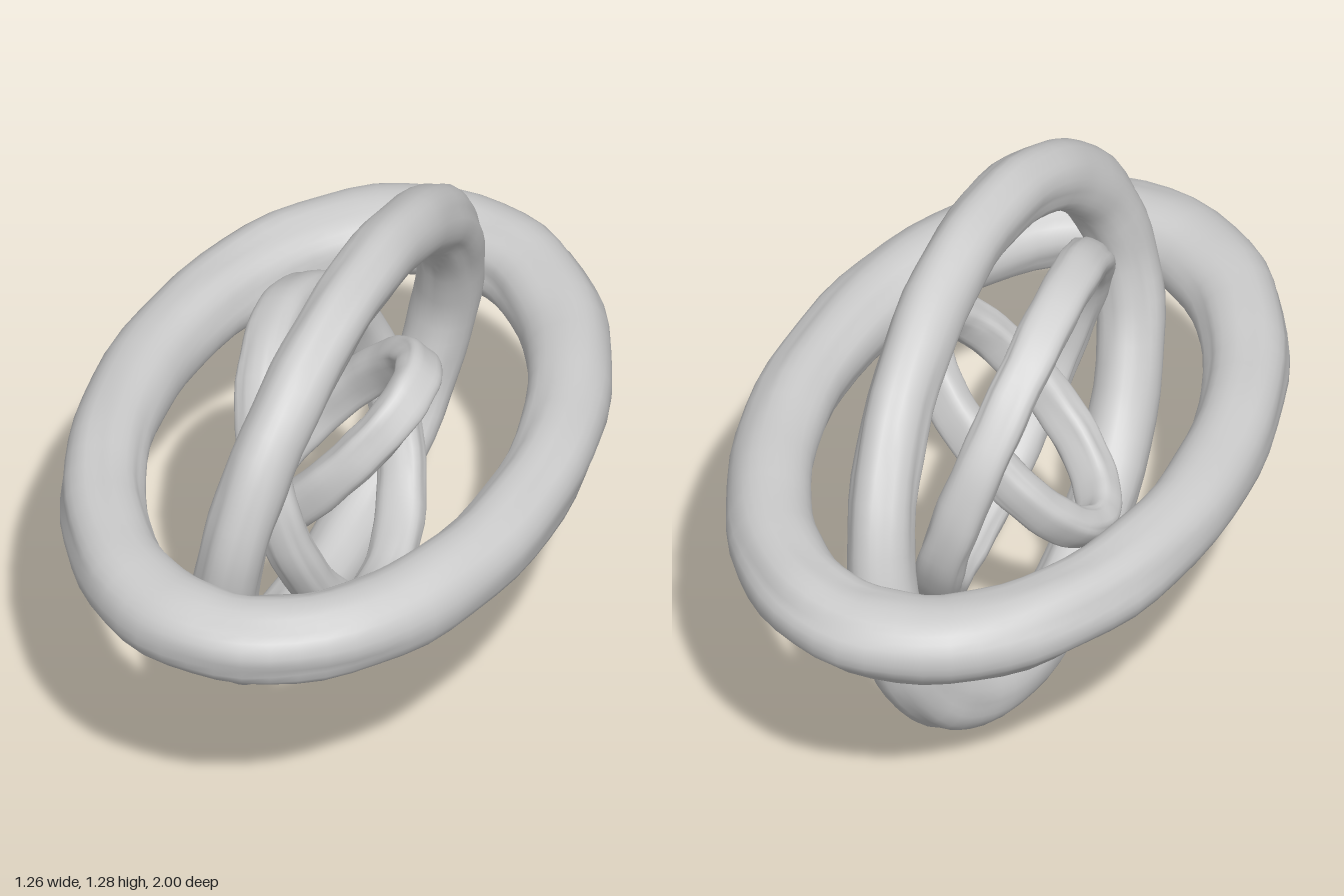
import * as THREE from 'three';

const material = new THREE.MeshStandardMaterial({ color: 0xcccccc });

// Closed tube swept round the ellipse centre + u cos + v sin.
// rIn: section radius within the ring's plane (endIn at its two ends along u),
// rSide: radius across it, square: 1 is an oval section, lower is boxier.
function ringGeometry({ centre, u, v, rIn, endIn = rIn, rSide, square, phase, rough }, segs = 64, sides = 32) {
  const C = new THREE.Vector3(...centre);
  const U = new THREE.Vector3(...u);
  const V = new THREE.Vector3(...v);
  const box = (t) => Math.sign(t) * Math.abs(t) ** square;
  const pos = [];
  const index = [];
  for (let i = 0; i < segs; i++) {
    const a = (i / segs) * Math.PI * 2;
    const c = Math.cos(a);
    const s = Math.sin(a);
    const arm = U.clone().multiplyScalar(c).addScaledVector(V, s);
    const T = U.clone().multiplyScalar(-s).addScaledVector(V, c).normalize();
    const N = arm.clone().addScaledVector(T, -arm.dot(T)).normalize();
    const B = N.clone().cross(T);
    const radius = THREE.MathUtils.lerp(rIn, endIn, c * c);
    for (let j = 0; j < sides; j++) {
      const f = (j / sides) * Math.PI * 2;
      // hand-modelled lumps, and narrow grooves that wander along the ring
      const lump = 0.3 * Math.sin(3 * f - 4 * a + 2 * phase) +
        0.3 * Math.sin(11 * a + 2 * f + phase) + 0.3 * Math.sin(17 * a - f);
      const wander = 5 * f + a + 0.8 * Math.sin(3 * a + phase) + phase;
      const groove = Math.abs(Math.cos(wander / 2)) ** 8 * (0.6 + 0.4 * Math.sin(5 * a + phase));
      const k = 1 + rough * (0.4 + lump - 2 * groove);
      const p = C.clone().add(arm)
        .addScaledVector(N, box(Math.cos(f)) * radius * k)
        .addScaledVector(B, box(Math.sin(f)) * rSide * k);
      pos.push(p.x, p.y, p.z);
      const i2 = (i + 1) % segs;
      const j2 = (j + 1) % sides;
      const q = [i * sides + j, i2 * sides + j, i2 * sides + j2, i * sides + j2];
      index.push(q[0], q[1], q[2], q[0], q[2], q[3]);
    }
  }
  const g = new THREE.BufferGeometry();
  g.setAttribute('position', new THREE.Float32BufferAttribute(pos, 3));
  g.setIndex(index);
  g.computeVertexNormals();
  return g;
}

// Four nested rings, outermost first
const rings = [
  { name: 'horizontalRing', centre: [0, 0.648, 0], u: [0, 0, 0.88], v: [0.53, 0, 0],
    rIn: 0.098, endIn: 0.12, rSide: 0.1, square: 0.95, phase: 0.4, rough: 0.045 },
  { name: 'largeUprightRing', centre: [0, 0.642, -0.01], u: [-0.055, 0.08, 0.68], v: [0.103, 0.548, 0],
    rIn: 0.088, rSide: 0.081, square: 1, phase: 1.7, rough: 0.05 },
  { name: 'middleRing', centre: [0, 0.645, 0.045], u: [-0.01, 0.06, 0.4], v: [-0.12, 0.395, 0],
    rIn: 0.045, rSide: 0.06, square: 0.8, phase: 3.1, rough: 0.06 },
  { name: 'innerRing', centre: [0, 0.655, 0.035], u: [0.025, -0.01, 0.2], v: [0.22, 0.24, 0],
    rIn: 0.043, rSide: 0.056, square: 0.65, phase: 4.6, rough: 0.05 },
];

export function createModel() {
  const group = new THREE.Group();
  group.name = 'nestedRings';
  for (const ring of rings) {
    const mesh = new THREE.Mesh(ringGeometry(ring), material);
    mesh.name = ring.name;
    group.add(mesh);
  }
  return group;
}
